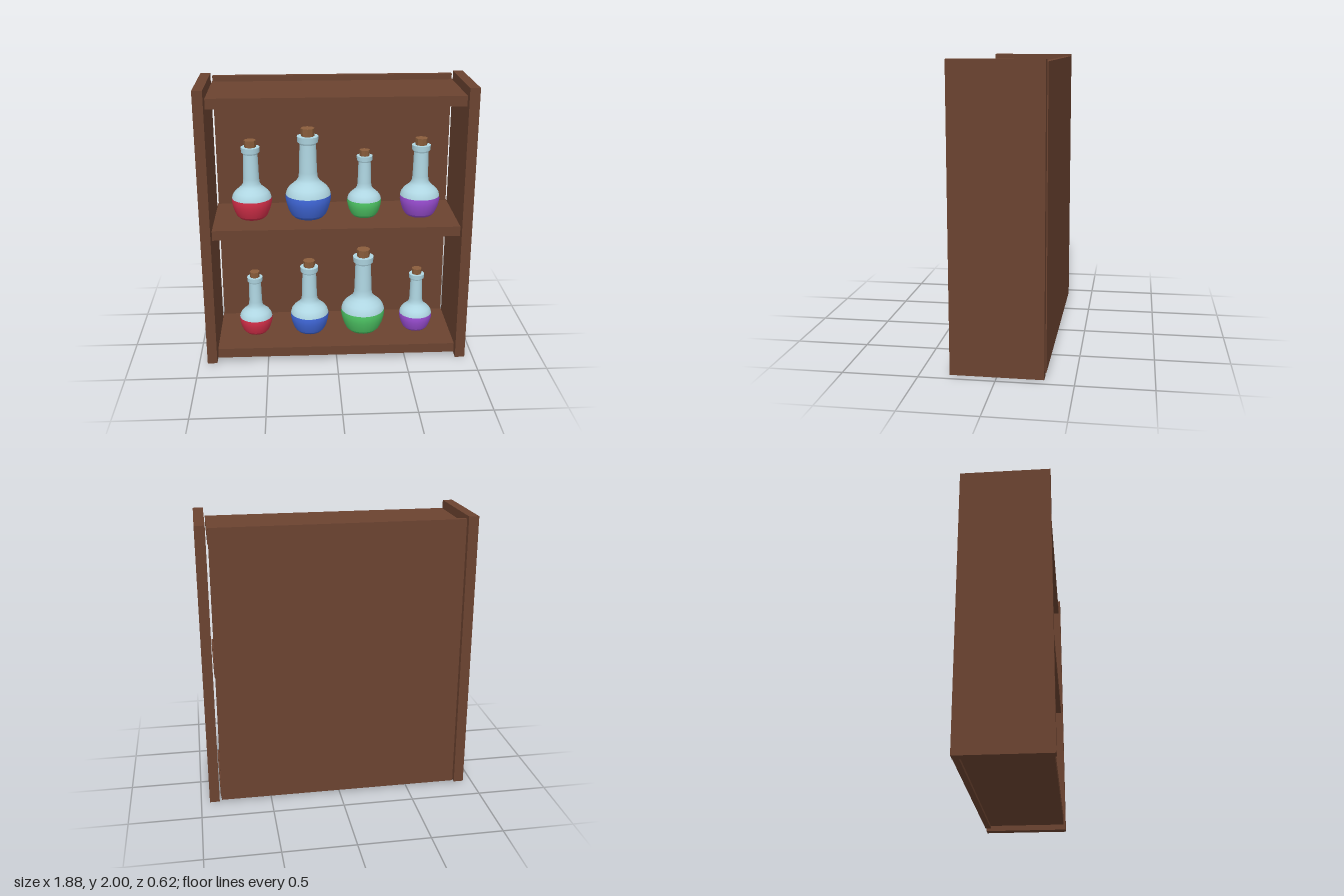
import * as THREE from 'three';

const mat = (name, color) => {
  const m = new THREE.MeshStandardMaterial({ color });
  m.name = name;
  return m;
};

export function createModel() {
  const root = new THREE.Group();
  root.name = 'potionShelf';
  const wood = mat('darkWood', 0x6b4330);
  const glass = mat('paleGlass', 0xafd6e2);
  const corkMat = mat('cork', 0x8b5e3c);
  const red = mat('redPotion', 0xd6304a);
  const blue = mat('bluePotion', 0x4169dc);
  const green = mat('greenPotion', 0x4fc866);
  const purple = mat('purplePotion', 0x9d4fd6);

  const add = (parent, name, geometry, material, x = 0, y = 0, z = 0) => {
    const mesh = new THREE.Mesh(geometry, material);
    mesh.name = name;
    mesh.position.set(x, y, z);
    parent.add(mesh);
    return mesh;
  };

  // Cabinet: two sides, back board and three shelves
  for (const s of [1, -1]) {
    add(root, s > 0 ? 'leftSide' : 'rightSide', new THREE.BoxGeometry(0.07, 2, 0.61), wood, s * 0.905, 1, 0);
  }
  add(root, 'backBoard', new THREE.BoxGeometry(1.71, 1.97, 0.04), wood, 0, 1, -0.29);
  const shelfNames = ['bottomShelf', 'middleShelf', 'topShelf'];
  [0.072, 0.99, 1.91].forEach((y, i) => {
    add(root, shelfNames[i], new THREE.BoxGeometry(1.72, 0.07, 0.58), wood, 0, y, 0);
  });

  // Bottle parts, drawn for the largest bottle and scaled for the others
  const lathe = (pts, sides = 24) => new THREE.LatheGeometry(pts.map(p => new THREE.Vector2(...p)), sides);
  const baseGeo = lathe([[0, 0], [0.105, 0], [0.126, 0.022]]);
  const liquidGeo = lathe([[0.126, 0.022], [0.144, 0.06], [0.157, 0.105], [0.163, 0.14], [0.161, 0.167]]);
  const bodyGeo = lathe([
    [0.161, 0.167], [0.153, 0.195], [0.135, 0.22], [0.108, 0.243], [0.083, 0.265],
    [0.069, 0.29], [0.064, 0.33], [0.058, 0.54],
  ]);
  const collarGeo = new THREE.CylinderGeometry(0.066, 0.06, 0.016, 24);
  const lipGeo = new THREE.CylinderGeometry(0.076, 0.073, 0.042, 24);
  const corkGeo = new THREE.CylinderGeometry(0.05, 0.045, 0.085, 8).toNonIndexed();
  corkGeo.computeVertexNormals();

  const bottle = (x, y, scale, potion) => {
    const g = new THREE.Group();
    g.name = 'bottle';
    add(g, 'base', baseGeo, potion);
    add(g, 'potion', liquidGeo, potion);
    add(g, 'flask', bodyGeo, glass);
    add(g, 'collar', collarGeo, glass, 0, 0.541, 0);
    add(g, 'lip', lipGeo, glass, 0, 0.569, 0);
    add(g, 'stopper', corkGeo, corkMat, 0, 0.6035, 0);
    g.position.set(x, y, 0.01);
    g.scale.setScalar(scale);
    root.add(g);
  };

  // Two rows of bottles
  const potions = [red, blue, green, purple];
  const columns = [-0.592, -0.19, 0.21, 0.61];
  const rows = [
    { y: 0.107, sizes: [0.75, 0.875, 1, 0.75] },
    { y: 1.025, sizes: [0.875, 1, 0.75, 0.875] },
  ];
  for (const { y, sizes } of rows) {
    sizes.forEach((size, i) => bottle(columns[i], y, size, potions[i]));
  }
  return root;
}
